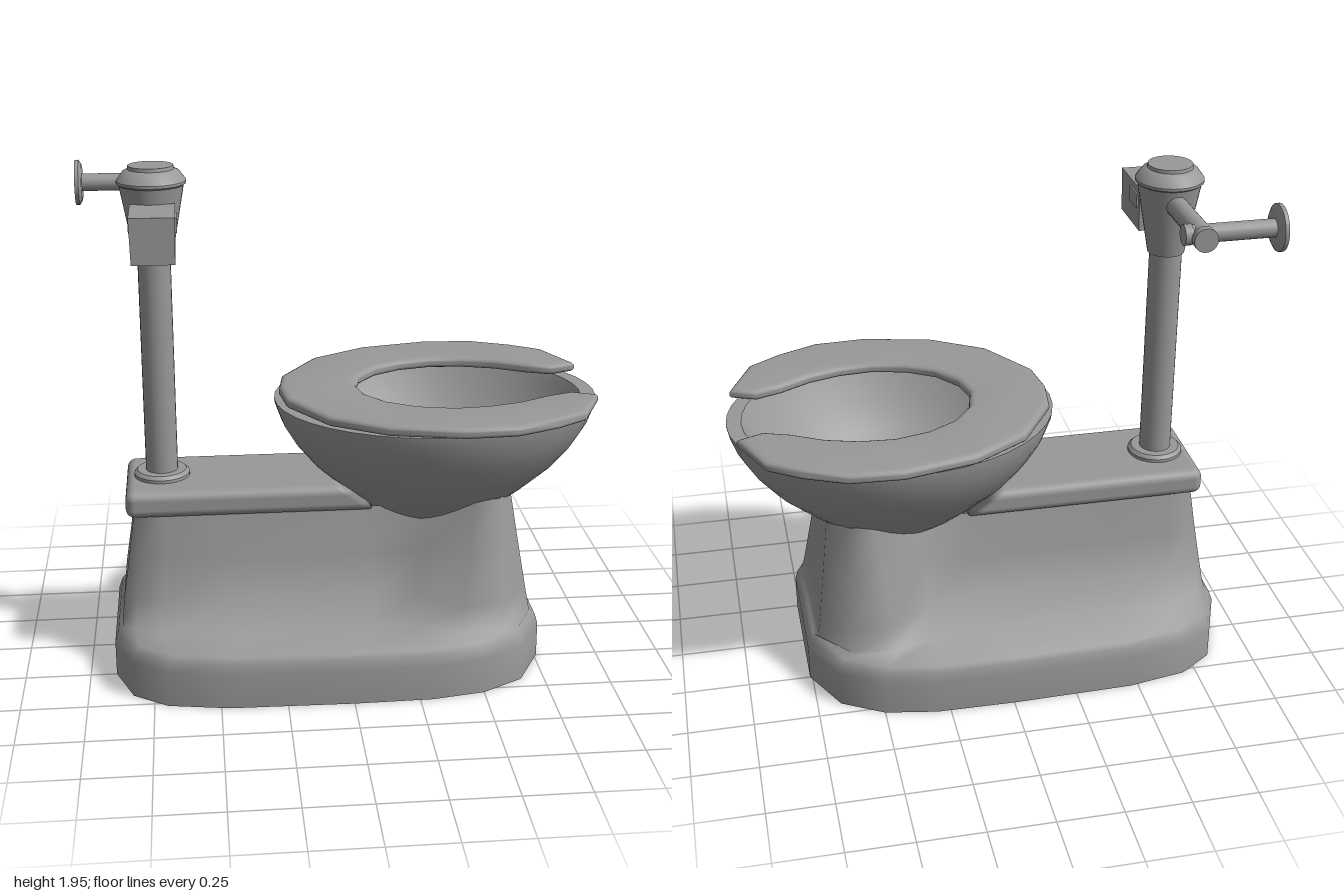
import * as THREE from 'three';
import { toCreasedNormals } from 'three/addons/utils/BufferGeometryUtils.js';
import { RoundedBoxGeometry } from 'three/addons/geometries/RoundedBoxGeometry.js';

const grey = new THREE.MeshStandardMaterial({ color: 0x999999 });
const greyDouble = new THREE.MeshStandardMaterial({ color: 0x999999, side: THREE.DoubleSide });

function part(parent, name, geometry, x = 0, y = 0, z = 0, material = grey) {
  const mesh = new THREE.Mesh(geometry, material);
  mesh.name = name;
  mesh.position.set(x, y, z);
  parent.add(mesh);
}

const lathe = (points, segments = 32) =>
  toCreasedNormals(new THREE.LatheGeometry(points.map(([r, y]) => new THREE.Vector2(r, y)), segments), 0.6);

// Closed ring of 3D points from a half outline (x, z >= 0), mirrored in z
function ring(half, yOf, inset = 1) {
  const side = half.map(([x, z]) => [x * inset, yOf(x), z * inset]);
  const mirrored = side.slice(1, -1).reverse().map(([x, y, z]) => [x, y, -z]);
  return [...side, ...mirrored];
}

// Skin a stack of rings, bottom to top
function loft(rings) {
  const n = rings[0].length;
  const index = [];
  for (let r = 0; r < rings.length - 1; r++) {
    for (let i = 0; i < n; i++) {
      const a = r * n + i, b = r * n + (i + 1) % n;
      index.push(a, b, b + n, a, b + n, a + n);
    }
  }
  const geo = new THREE.BufferGeometry();
  geo.setAttribute('position', new THREE.Float32BufferAttribute(rings.flat(2), 3));
  geo.setIndex(index);
  return toCreasedNormals(geo, 1.4);
}

// Wide foot, flaring waist, narrow rear wall and a broad front column
function buildPedestal() {
  const foot = [[-0.9, 0], [-0.9, 0.25], [-0.83, 0.43], [-0.7, 0.52], [-0.47, 0.56], [0, 0.57],
    [0.3, 0.565], [0.5, 0.53], [0.66, 0.44], [0.76, 0.25], [0.76, 0]];
  const waist = [[-0.87, 0], [-0.87, 0.2], [-0.82, 0.28], [-0.72, 0.33], [-0.47, 0.35], [0.08, 0.35],
    [0.27, 0.38], [0.43, 0.43], [0.6, 0.41], [0.72, 0.27], [0.72, 0]];
  const calf = [[-0.86, 0], [-0.86, 0.17], [-0.81, 0.22], [-0.71, 0.25], [-0.47, 0.26], [0.1, 0.26],
    [0.28, 0.29], [0.44, 0.4], [0.6, 0.38], [0.705, 0.25], [0.705, 0]];
  const top = [[-0.81, 0], [-0.81, 0.14], [-0.79, 0.17], [-0.7, 0.18], [-0.47, 0.18], [0.1, 0.18],
    [0.3, 0.18], [0.49, 0.295], [0.59, 0.27], [0.65, 0.15], [0.65, 0]];
  const middle = calf.map(([x, z], i) => [(x + top[i][0]) / 2, (z + top[i][1]) / 2]);
  return loft([
    ring(foot, () => 0),
    ring(foot, () => 0.14),
    ring(foot, () => 0.18, 0.985),
    ring(foot, () => 0.198, 0.965),
    ring(waist, () => 0.21),
    ring(calf, () => 0.3),
    ring(middle, (x) => (x > 0.4 ? 0.49 : 0.46)),
    ring(top, (x) => (x > 0.4 ? 0.69 : 0.64)),
  ]);
}

// Shelf whose front end slants back to follow the bowl
function buildShelf() {
  const geo = new RoundedBoxGeometry(0.9, 0.105, 0.42, 4, 0.035);
  const pos = geo.attributes.position;
  for (let i = 0; i < pos.count; i++) {
    if (pos.getX(i) > 0.2) pos.setX(i, pos.getX(i) - pos.getY(i) * 1.3);
  }
  return geo;
}

// Open-front seat ring
function buildSeat() {
  const outer = [[-0.24, 0], [-0.22, 0.15], [-0.08, 0.37], [0.13, 0.5], [0.4, 0.56], [0.6, 0.55],
    [0.76, 0.48], [0.88, 0.4], [0.97, 0.2]];
  const inner = [[0.87, 0.16], [0.77, 0.195], [0.65, 0.26], [0.53, 0.295], [0.4, 0.305], [0.27, 0.275],
    [0.16, 0.21], [0.085, 0.11], [0.06, 0]];
  const half = [...outer, ...inner];
  const flip = half.slice(1, -1).reverse().map(([x, z]) => [x, -z]);
  const shape = new THREE.Shape([...half, ...flip].map(([x, z]) => new THREE.Vector2(x, z)));
  const geo = new THREE.ExtrudeGeometry(shape, {
    depth: 0.009, bevelThickness: 0.018, bevelSize: 0.028, bevelOffset: -0.028, bevelSegments: 4,
  });
  geo.rotateX(Math.PI / 2);
  return toCreasedNormals(geo, 0.9);
}

export function createModel() {
  const model = new THREE.Group();
  model.name = 'toilet';

  // Hollow pedestal and rear shelf
  part(model, 'pedestal', buildPedestal(), 0, 0, 0, greyDouble);
  part(model, 'rearShelf', buildShelf(), -0.39, 0.68, 0);

  // Oval bowl: outside, rim, then inside
  const bowl = lathe([[0, 0.5], [0.2, 0.52], [0.35, 0.565], [0.46, 0.615], [0.6, 0.685], [0.76, 0.775],
    [0.87, 0.86], [0.945, 0.94], [0.985, 1.01], [0.99, 1.03], [0.9, 1.03], [0.87, 1.0],
    [0.78, 0.89], [0.6, 0.775], [0.35, 0.68], [0, 0.64]], 40);
  bowl.scale(0.635, 1, 0.52);
  part(model, 'bowl', bowl, 0.37, 0, 0);
  part(model, 'seat', buildSeat(), 0, 1.062, 0);

  // Flush pipe and valve
  const flush = new THREE.Group();
  flush.name = 'flushValve';
  flush.position.set(-0.7, 0, 0);
  model.add(flush);
  part(flush, 'pipeFlange', lathe([[0, 0.72], [0.108, 0.72], [0.108, 0.745], [0.095, 0.758], [0, 0.758]]));
  part(flush, 'flushPipe', new THREE.CylinderGeometry(0.062, 0.062, 0.9, 24), 0, 1.18, 0);
  part(flush, 'valveBody', lathe([[0, 1.6], [0.07, 1.6], [0.078, 1.645], [0.12, 1.875], [0.129, 1.882],
    [0.129, 1.892], [0.105, 1.925], [0.086, 1.934], [0.084, 1.947], [0, 1.947]]));

  // Sensor box, narrower at the bottom
  const box = new THREE.BoxGeometry(0.165, 0.17, 0.24);
  const pos = box.attributes.position;
  for (let i = 0; i < pos.count; i++) {
    if (pos.getY(i) < 0) pos.setX(i, pos.getX(i) * 0.95);
  }
  box.computeVertexNormals();
  part(flush, 'sensorBox', box, 0.003, 1.735, 0.21);
  part(flush, 'sensorBracket', new THREE.BoxGeometry(0.176, 0.055, 0.1), 0.003, 1.765, 0.155);

  // Supply arm: out of the valve, then along to the wall flange
  const arm = new THREE.CylinderGeometry(0.04, 0.04, 0.4, 20).rotateX(Math.PI / 2);
  part(flush, 'supplyArm', arm, 0, 1.815, -0.22);
  const cap = new THREE.CylinderGeometry(0.045, 0.045, 0.03, 20).rotateX(Math.PI / 2);
  part(flush, 'armCap', cap, 0, 1.815, -0.43);
  const wallPipe = new THREE.CylinderGeometry(0.034, 0.034, 0.34, 20).rotateZ(Math.PI / 2);
  part(flush, 'wallPipe', wallPipe, -0.11, 1.815, -0.375);
  const stop = new THREE.CylinderGeometry(0.038, 0.038, 0.03, 20).rotateZ(Math.PI / 2);
  part(flush, 'pipeStop', stop, 0.05, 1.815, -0.375);

  // Wall flange with a recessed back
  const wallFlange = lathe([[0, 0.018], [0.04, 0.018], [0.05, 0], [0.087, 0], [0.087, 0.015],
    [0.07, 0.025], [0.034, 0.025]]);
  wallFlange.rotateZ(-Math.PI / 2);
  part(flush, 'wallFlange', wallFlange, -0.3, 1.815, -0.375);

  return model;
}
